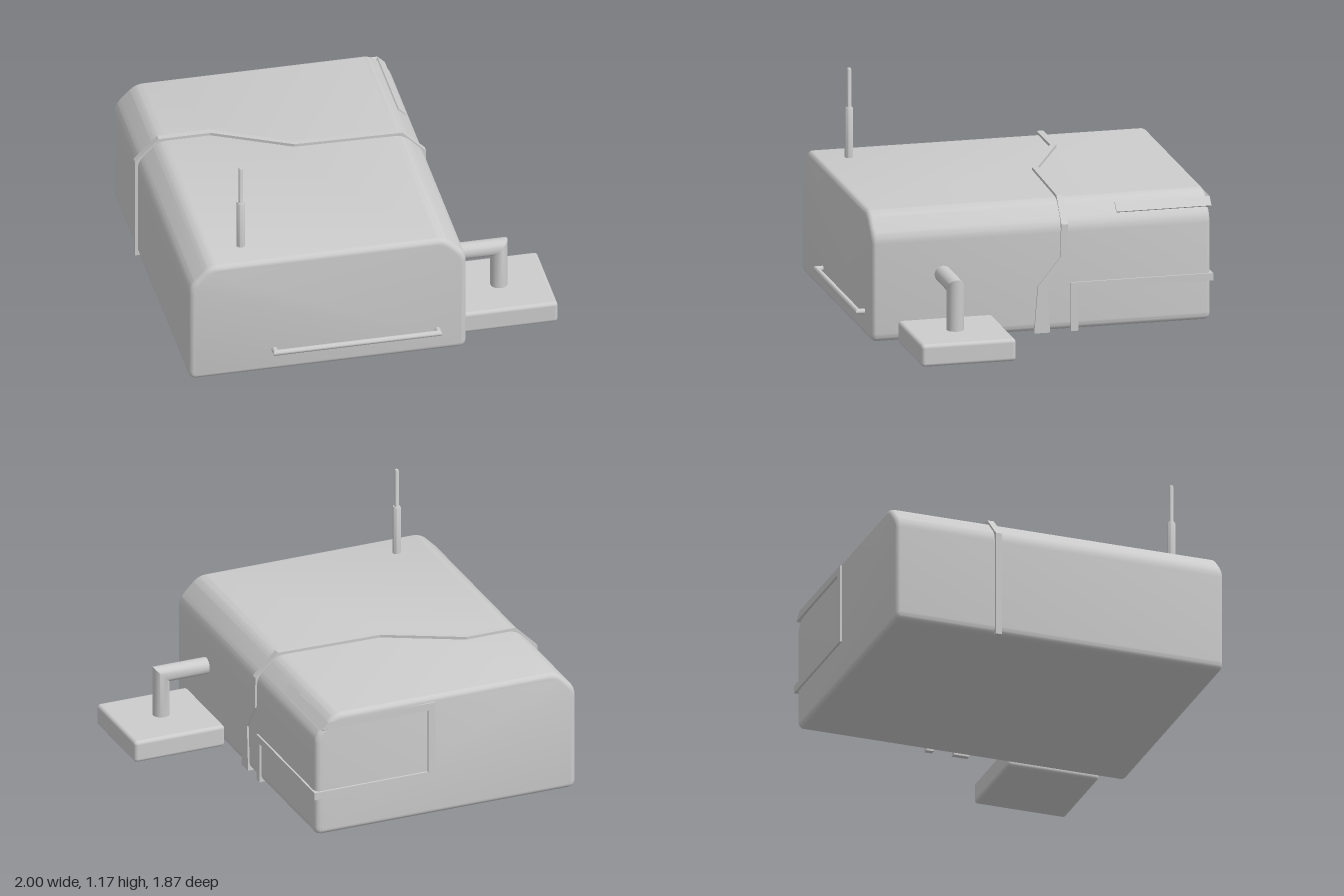
import * as THREE from 'three';
import { toCreasedNormals } from 'three/addons/utils/BufferGeometryUtils.js';
import { RoundedBoxGeometry } from 'three/addons/geometries/RoundedBoxGeometry.js';

const grey = new THREE.MeshStandardMaterial({ color: 0xcccccc });

function add(group, name, geometry, x = 0, y = 0, z = 0) {
  const mesh = new THREE.Mesh(geometry, grey);
  mesh.name = name;
  mesh.position.set(x, y, z);
  group.add(mesh);
  return mesh;
}

// Skin a list of rings (arrays of Vector3) and cap both ends
function skin(rings, crease) {
  const n = rings[0].length, pos = [];
  const tri = (...pts) => pts.forEach((p) => pos.push(p.x, p.y, p.z));
  for (let i = 0; i < rings.length - 1; i++) {
    for (let k = 0; k < n; k++) {
      const a = rings[i][k], b = rings[i][(k + 1) % n];
      const c = rings[i + 1][(k + 1) % n], d = rings[i + 1][k];
      tri(a, b, c);
      tri(a, c, d);
    }
  }
  const first = rings[0], last = rings[rings.length - 1];
  for (let k = 1; k < n - 1; k++) {
    tri(first[0], first[k + 1], first[k]);
    tri(last[0], last[k], last[k + 1]);
  }
  const g = new THREE.BufferGeometry();
  g.setAttribute('position', new THREE.Float32BufferAttribute(pos, 3));
  g.computeVertexNormals();
  return crease ? toCreasedNormals(g, crease) : g;
}

// Flat strip: each row holds its two outer corners and the inward offset
function strip(rows) {
  return skin(rows.map(([a, b, inset]) => {
    const A = new THREE.Vector3(...a), B = new THREE.Vector3(...b), I = new THREE.Vector3(...inset);
    return [A, B, B.clone().add(I), A.clone().add(I)];
  }));
}

// Round bar along a planar path with mitred corners
function mitredBar(points, normal, radius, sides = 24) {
  const p = points.map((q) => new THREE.Vector3(...q));
  const N = new THREE.Vector3(...normal);
  const rings = p.map((q, i) => {
    const before = p[Math.max(i, 1)].clone().sub(p[Math.max(i, 1) - 1]).normalize();
    const j = Math.min(i, p.length - 2);
    const after = p[j + 1].clone().sub(p[j]).normalize();
    const tangent = before.clone().add(after).normalize();
    const side = N.clone().cross(tangent).divideScalar(tangent.dot(after));
    return Array.from({ length: sides }, (_, k) => {
      const t = (k / sides) * Math.PI * 2;
      return q.clone().addScaledVector(side, radius * Math.cos(t)).addScaledVector(N, -radius * Math.sin(t));
    }).reverse();
  });
  return skin(rings, 0.6);
}

// Closed outline with every corner eased by a radius
function roundedOutline(corners, r) {
  const shape = new THREE.Shape();
  const v = corners.map((c) => new THREE.Vector2(...c));
  v.forEach((c, i) => {
    const prev = v[(i + v.length - 1) % v.length], next = v[(i + 1) % v.length];
    const a = prev.clone().sub(c).setLength(r).add(c);
    const b = next.clone().sub(c).setLength(r).add(c);
    if (i === 0) shape.moveTo(a.x, a.y);
    else shape.lineTo(a.x, a.y);
    shape.quadraticCurveTo(c.x, c.y, b.x, b.y);
  });
  shape.closePath();
  return shape;
}

export function createModel() {
  const model = new THREE.Group();
  model.name = 'device';

  // Main housing with chamfered upper edges
  const outline = roundedOutline([
    [-0.985, 0.005], [0.485, 0.005], [0.485, 0.575], [0.375, 0.685], [-0.875, 0.685], [-0.985, 0.575],
  ], 0.045);
  const bevel = 0.03;
  const body = new THREE.ExtrudeGeometry(outline, {
    depth: 1.81 - 2 * bevel, bevelEnabled: true, bevelThickness: bevel,
    bevelSize: bevel, bevelOffset: -bevel, bevelSegments: 6, curveSegments: 8,
  });
  add(model, 'housing', toCreasedNormals(body, 0.5), 0, 0, -0.925 + bevel);

  // Raised band wrapping over the housing from side to side
  const t = 0.03;
  add(model, 'seamBand', strip([
    [[0.495, 0, 0.02], [0.495, 0, -0.065], [-t, 0, 0]],
    [[0.495, 0.25, 0.0], [0.495, 0.25, -0.05], [-t, 0, 0]],
    [[0.495, 0.4, -0.12], [0.495, 0.4, -0.155], [-t, 0, 0]],
    [[0.495, 0.575, -0.125], [0.495, 0.575, -0.16], [-t, -t / 2, 0]],
    [[0.37, 0.7, -0.13], [0.37, 0.7, -0.165], [-t / 2, -t, 0]],
    [[-0.2, 0.7, -0.145], [-0.2, 0.7, -0.18], [0, -t, 0]],
    [[-0.6, 0.7, -0.345], [-0.6, 0.7, -0.38], [0, -t, 0]],
    [[-0.875, 0.7, -0.345], [-0.875, 0.7, -0.38], [t / 2, -t, 0]],
    [[-1, 0.575, -0.345], [-1, 0.575, -0.38], [t, -t / 2, 0]],
    [[-1, 0, -0.345], [-1, 0, -0.38], [t, 0, 0]],
  ]));

  // Panel trim running along the side, round the back and onto the chamfer
  const back = -0.937;
  add(model, 'panelTrim', strip([
    [[0.495, 0, -0.175], [0.495, 0, -0.215], [-t, 0, 0]],
    [[0.495, 0.26, -0.175], [0.495, 0.22, -0.215], [-t, 0, 0]],
    [[0.495, 0.26, back], [0.495, 0.22, back], [-t, 0, t]],
    [[-0.145, 0.26, back], [-0.185, 0.22, back], [0, 0, t]],
    [[-0.145, 0.613, back], [-0.185, 0.653, back], [0, 0, t]],
    [[0.457, 0.613, back], [0.417, 0.653, back], [-0.02, -0.02, t]],
    [[0.457, 0.613, -0.43], [0.417, 0.653, -0.43], [-0.02, -0.02, 0]],
  ]));

  // Front rail
  add(model, 'frontRail', mitredBar([
    [-0.535, 0.135, 0.86], [-0.535, 0.135, 0.92], [0.33, 0.135, 0.92], [0.33, 0.135, 0.86],
  ], [0, 1, 0], 0.015, 16));

  // Elbow pipe and the block it stands on
  add(model, 'elbowPipe', mitredBar([
    [0.45, 0.35, 0.505], [0.74, 0.35, 0.505], [0.74, 0.1, 0.505],
  ], [0, 0, 1], 0.045));
  add(model, 'sideBlock', new RoundedBoxGeometry(0.51, 0.12, 0.505, 4, 0.02), 0.745, 0.06, 0.4975);

  // Two-stage antenna
  const mast = new THREE.LatheGeometry([
    [0.022, 0.66], [0.022, 0.945], [0.018, 0.952], [0.012, 0.952],
    [0.012, 1.153], [0.009, 1.162], [0, 1.166],
  ].map(([x, y]) => new THREE.Vector2(x, y)), 24);
  add(model, 'antenna', toCreasedNormals(mast, 0.6), -0.675, 0, 0.71);

  return model;
}
